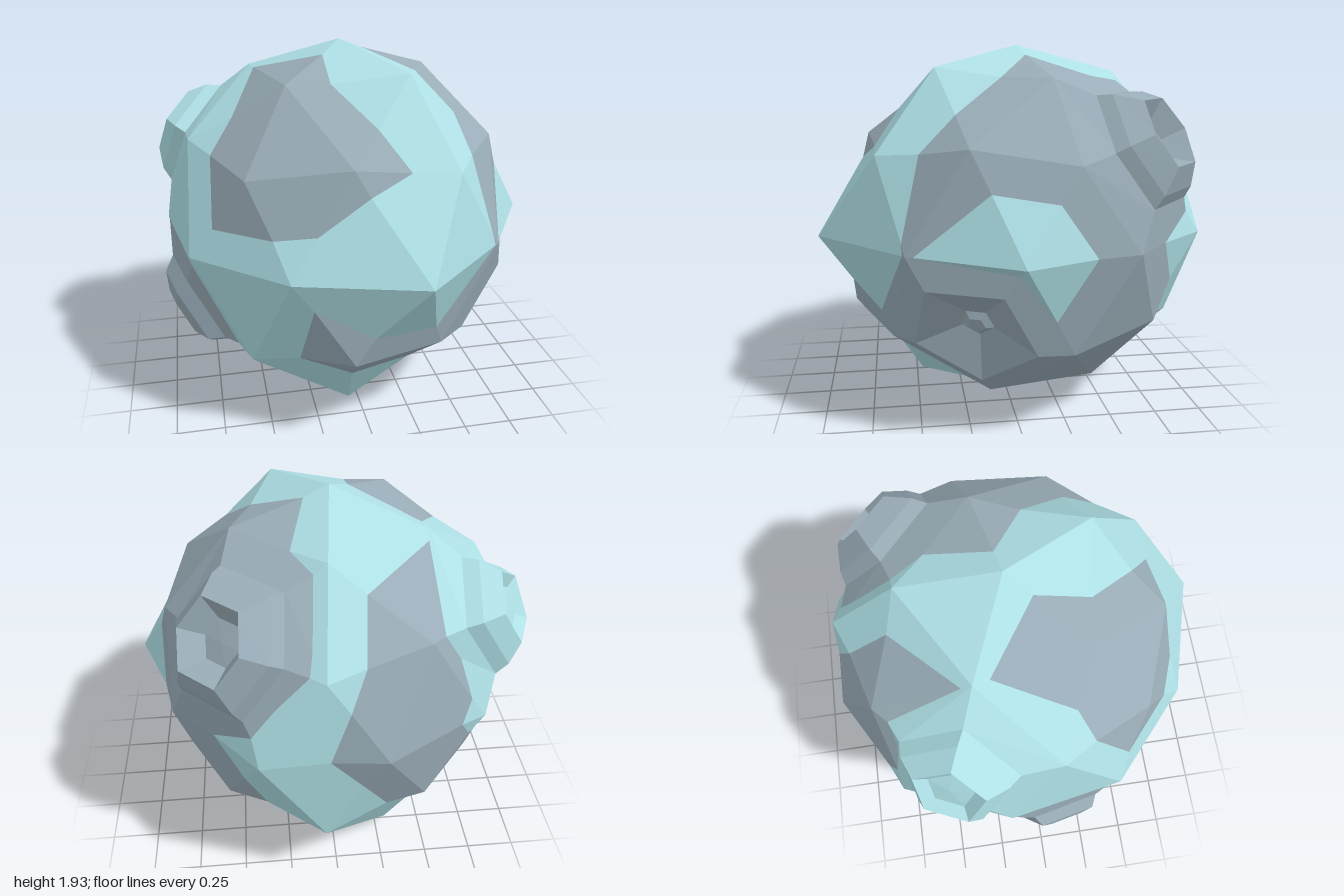
import * as THREE from 'three';

const CENTER = new THREE.Vector3(-0.02, 0.965, -0.07);

// Unit directions of a pole-aligned, once-subdivided icosahedron, named ring + angle.
// Rings from the top: T, A, V, U, E (equator), M, L, B, Z.
const HEIGHT = { T: 1, A: 0.8507, V: 0.5257, U: 0.4472, E: 0, M: -0.5257, L: -0.4472, B: -0.8507, Z: -1 };
function dir(name) {
  const y = HEIGHT[name[0]];
  const a = THREE.MathUtils.degToRad(Number(name.slice(1)));
  const r = Math.sqrt(1 - y * y);
  return new THREE.Vector3(r * Math.cos(a), y, r * Math.sin(a));
}

// The 80 triangles, one fifth of the ball at a time
function ballFaces() {
  const faces = [];
  for (let k = 0; k < 5; k++) {
    const at = (ring, offset) => ring + ((348 + 72 * k + offset) % 360);
    const [Aa, Ac, Ua, Uc, Vb] = [at('A', 0), at('A', 72), at('U', 0), at('U', 72), at('V', 36)];
    const [E1, E2, E3] = [at('E', 18), at('E', 54), at('E', 90)];
    const [Lb, Ld, Mc, Bb, Bd] = [at('L', 36), at('L', 108), at('M', 72), at('B', 36), at('B', 108)];
    faces.push(
      ['T0', Aa, Ac], [Aa, Ua, Vb], [Aa, Vb, Ac], [Ac, Vb, Uc],
      [Ua, E1, Vb], [Vb, E1, E2], [Vb, E2, Uc], [E1, Lb, E2],
      [Lb, Mc, E2], [E2, Mc, E3], [Mc, Ld, E3], [E2, E3, Uc],
      [Lb, Bb, Mc], [Mc, Bb, Bd], [Mc, Bd, Ld], [Bb, 'Z0', Bd]
    );
  }
  // Turn every triangle outward
  return faces.map(([a, b, c]) => {
    const [p, q, r] = [dir(a), dir(b), dir(c)];
    const n = q.clone().sub(p).cross(r.clone().sub(p));
    return n.dot(p) > 0 ? [a, b, c] : [a, c, b];
  });
}

// A faceted shell: radii moves single corners in or out; craters replaces the
// faces round a corner by rings of [share of the way to the neighbours, radius].
function shell(name, color, base, radii, craters) {
  const pos = [];
  const tri = (...pts) => pts.forEach((p) => pos.push(p.x, p.y, p.z));
  const point = (n) => dir(n).multiplyScalar(radii[n] ?? base);

  for (const face of ballFaces()) {
    const i = face.findIndex((n) => craters[n]);
    if (i < 0) {
      tri(...face.map(point));
      continue;
    }
    const [c, p, q] = [0, 1, 2].map((j) => face[(i + j) % 3]);
    const ringPoint = (n, t, r) => dir(c).lerp(dir(n), t).normalize().multiplyScalar(r);
    let [p0, q0] = [point(p), point(q)];
    let last = 0;
    for (const [t, r] of craters[c]) {
      const [p1, q1] = [ringPoint(p, t, r), ringPoint(q, t, r)];
      tri(p0, q0, q1);
      tri(p0, q1, p1);
      [p0, q0, last] = [p1, q1, r];
    }
    tri(dir(c).multiplyScalar(last), p0, q0);
  }

  const geometry = new THREE.BufferGeometry();
  geometry.setAttribute('position', new THREE.Float32BufferAttribute(pos, 3));
  geometry.computeVertexNormals();
  const mesh = new THREE.Mesh(geometry, new THREE.MeshStandardMaterial({ color, flatShading: true }));
  mesh.name = name;
  mesh.position.copy(CENTER);
  return mesh;
}

export function createModel() {
  const group = new THREE.Group();
  group.name = 'asteroid';

  // Even rock body with a sunken crater and two raised ones
  group.add(shell('rockBody', 0x9aadb8, 0.95, { L96: 1.02 }, {
    L24: [[0.64, 0.945], [0.2, 0.8], [0.11, 0.82]],
    V312: [[0.62, 0.95], [0.52, 1.0], [0.32, 1.07], [0.2, 0.95]],
    L168: [[0.58, 0.96], [0.45, 1.02], [0.27, 1.04], [0.18, 0.96]],
  }));

  // Uneven pale crust that breaks through the body, with one raised crater
  group.add(shell('paleCrust', 0xaee0e6, 0.91, {
    T0: 0.965, A60: 1.005, A276: 0.975, A204: 0.955, A132: 0.92,
    U60: 0.985, U276: 0.975, U204: 0.98, V168: 0.975,
    E6: 1.02, E42: 0.945, E78: 1.094, E114: 0.98, E150: 0.976, E186: 0.955, E222: 0.963, E294: 1.0,
    M132: 1.0, M276: 1.02, L96: 0.96, L24: 0.65, B96: 1.035, B240: 1.05, Z0: 0.965,
  }, {
    U204: [[0.6, 0.96], [0.5, 1.02], [0.32, 1.08], [0.22, 1.03]],
  }));

  return group;
}
